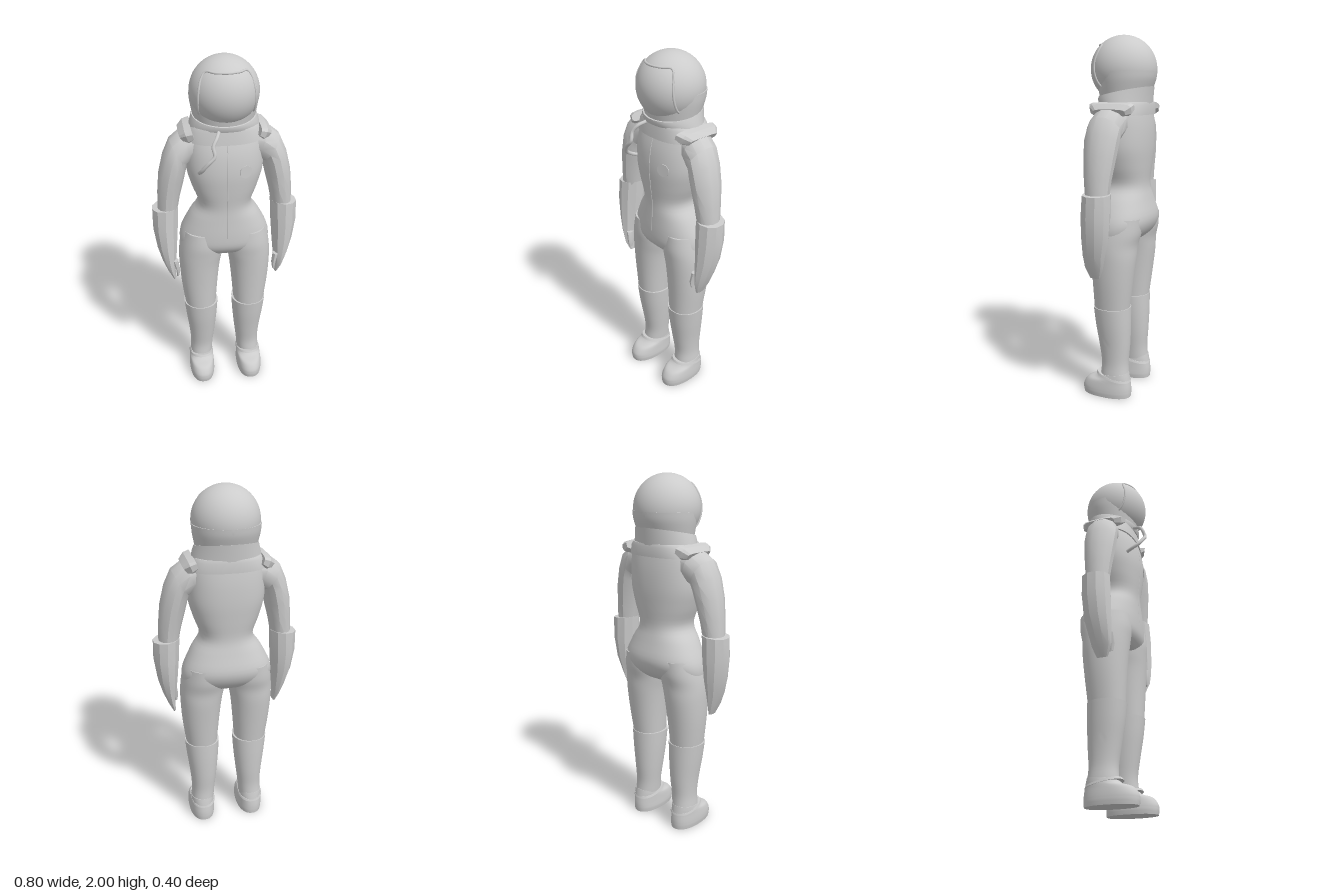
import * as THREE from 'three';
import { toCreasedNormals } from 'three/addons/utils/BufferGeometryUtils.js';

const material = new THREE.MeshStandardMaterial({ color: 0xcccccc });

// Cross-section: outer end (xa, ya), inner end (xb, yb), front z, back z, front lift
const sec = (xa, ya, xb, yb, zf, zb, lift = 0) => [xa, ya, xb, yb, zf, zb, lift];
const flat = (y, x0, x1, zf, zb, lift = 0) => sec(x1, y, x0, y, zf, zb, lift);
const wide = (y, w, zf, zb, lift = 0) => flat(y, -w, w, zf, zb, lift);
const mirror = ([xa, ya, xb, yb, ...rest]) => [-xb, yb, -xa, ya, ...rest];

// Smoothly subdivide a list of sections
function refine(sections, steps) {
  const out = [];
  const last = sections.length - 1;
  const spline = (a, b, c, d, t) => {
    const m0 = (c - a) / 2, m1 = (d - b) / 2;
    return (2 * b - 2 * c + m0 + m1) * t ** 3 + (3 * c - 3 * b - 2 * m0 - m1) * t * t + m0 * t + b;
  };
  for (let i = 0; i < last; i++) {
    const [a, b, c, d] = [i - 1, i, i + 1, i + 2].map(k => sections[Math.min(last, Math.max(0, k))]);
    for (let s = 0; s < steps; s++) out.push(b.map((v, k) => spline(a[k], v, c[k], d[k], s / steps)));
  }
  out.push(sections[last]);
  return out;
}

// Skin sections, listed from top to bottom, with superellipse rings and closed ends
function loft(name, sections, { sides = 32, steps = 4, power = 2, crease = 0.7 } = {}) {
  const rings = refine(sections, steps);
  const pos = [], idx = [];
  const round = v => Math.sign(v) * Math.abs(v) ** (2 / power);
  for (const [xa, ya, xb, yb, zf, zb, lift] of rings) {
    for (let j = 0; j < sides; j++) {
      const a = ((j + 0.5) / sides) * Math.PI * 2;
      const c = round(Math.cos(a)), s = round(Math.sin(a));
      pos.push((xa + xb + (xa - xb) * c) / 2, (ya + yb + (ya - yb) * c) / 2 + lift * s, (zf + zb + (zf - zb) * s) / 2);
    }
  }
  for (let i = 0; i < rings.length - 1; i++) {
    for (let j = 0; j < sides; j++) {
      const a = i * sides + j, b = i * sides + (j + 1) % sides;
      idx.push(a, b, a + sides, b, b + sides, a + sides);
    }
  }
  const addCap = (ring, base, top) => {
    const [xa, ya, xb, yb, zf, zb] = ring;
    const center = pos.length / 3;
    pos.push((xa + xb) / 2, (ya + yb) / 2, (zf + zb) / 2);
    for (let j = 0; j < sides; j++) {
      const a = base + j, b = base + (j + 1) % sides;
      idx.push(center, top ? b : a, top ? a : b);
    }
  };
  addCap(rings[0], 0, true);
  addCap(rings[rings.length - 1], (rings.length - 1) * sides, false);
  const geo = new THREE.BufferGeometry();
  geo.setAttribute('position', new THREE.Float32BufferAttribute(pos, 3));
  geo.setIndex(idx);
  return part(name, toCreasedNormals(geo, crease));
}

function part(name, geometry) {
  const mesh = new THREE.Mesh(geometry, material);
  mesh.name = name;
  return mesh;
}

function tube(name, points, radius, segments = 40) {
  const curve = new THREE.CatmullRomCurve3(points.map(p => new THREE.Vector3(...p)));
  return part(name, new THREE.TubeGeometry(curve, segments, radius, 8));
}

function makeHelmet() {
  const group = new THREE.Group();
  group.name = 'helmet';
  const center = new THREE.Vector3(0, 1.82, -0.014);
  const globe = part('helmetGlobe', new THREE.SphereGeometry(0.18, 48, 32));
  globe.position.copy(center);
  group.add(globe);
  // lower shell closing towards the neck
  group.add(loft('helmetSkirt', [
    wide(1.81, 0.181, 0.13, -0.194), wide(1.76, 0.177, 0.125, -0.188, -0.01), wide(1.69, 0.163, 0.11, -0.17, -0.03),
  ]));
  // visor frame laid over the globe
  const half = [[0, 1.945], [0.06, 1.945], [0.102, 1.943], [0.124, 1.915], [0.139, 1.86], [0.144, 1.8], [0.14, 1.74], [0.128, 1.695]];
  const outline = [...half.slice(1).reverse().map(([x, y]) => [-x, y]), ...half];
  group.add(tube('visorFrame', outline.map(([x, y]) => {
    const dy = y - center.y;
    return [x, y, center.z + Math.sqrt(0.18 ** 2 - x * x - dy * dy)];
  }), 0.006, 90));
  return group;
}

export function createModel() {
  const model = new THREE.Group();
  model.name = 'spacesuitFigure';
  model.add(makeHelmet());

  // Neck ring and yoke
  model.add(loft('neckRing', [
    wide(1.7, 0.17, 0.12, -0.178, -0.03), wide(1.67, 0.179, 0.12, -0.172, -0.012), wide(1.64, 0.186, 0.112, -0.168),
  ], { steps: 1 }));
  model.add(loft('yoke', [
    wide(1.648, 0.176, 0.105, -0.166), wide(1.632, 0.19, 0.108, -0.17), wide(1.575, 0.205, 0.115, -0.168, -0.005),
  ], { steps: 1, power: 2.5 }));

  // Torso, from shoulders to crotch
  const torso = [
    wide(1.63, 0.18, 0.085, -0.155), wide(1.58, 0.2, 0.106, -0.163), wide(1.5, 0.208, 0.127, -0.17),
    wide(1.4, 0.205, 0.136, -0.17), wide(1.3, 0.178, 0.13, -0.162), wide(1.2, 0.147, 0.12, -0.154),
    wide(1.12, 0.195, 0.122, -0.17), wide(1.02, 0.244, 0.126, -0.192), wide(0.95, 0.253, 0.12, -0.17),
    wide(0.9, 0.235, 0.085, -0.12), wide(0.885, 0.19, 0.05, -0.08),
  ];
  model.add(loft('torso', torso, { sides: 40, power: 2.3, crease: 1 }));
  model.add(tube('zipper', torso.slice(1, 8).map(s => [0, s[1], s[4] - 0.001]), 0.003));

  // Chest patch
  const patch = part('chestPatch', new THREE.CylinderGeometry(0.036, 0.036, 0.012, 10));
  patch.position.set(0.095, 1.42, 0.119);
  patch.rotation.set(Math.PI / 2, 0, -0.32);
  model.add(patch);

  // Breathing hose
  model.add(tube('hose', [
    [-0.045, 1.645, 0.115], [-0.06, 1.63, 0.155], [-0.08, 1.595, 0.178], [-0.075, 1.55, 0.193], [-0.11, 1.51, 0.195],
    [-0.14, 1.465, 0.175], [-0.148, 1.44, 0.14], [-0.143, 1.425, 0.105],
  ], 0.01));

  for (const side of [1, -1]) {
    const limb = new THREE.Group();
    limb.name = side > 0 ? 'leftLimbs' : 'rightLimbs';
    const add = (name, sections, options) => limb.add(loft(name, side > 0 ? sections : sections.map(mirror), options));

    add('sleeve', [
      sec(0.17, 1.635, 0.13, 1.47, 0.06, -0.11), sec(0.225, 1.627, 0.165, 1.45, 0.075, -0.115),
      sec(0.292, 1.575, 0.2, 1.43, 0.085, -0.105), sec(0.33, 1.49, 0.208, 1.4, 0.09, -0.1),
      sec(0.357, 1.38, 0.222, 1.34, 0.085, -0.09), sec(0.368, 1.27, 0.245, 1.25, 0.075, -0.075),
      sec(0.372, 1.16, 0.262, 1.16, 0.065, -0.065),
    ], { sides: 12, steps: 1, crease: 0.6 });

    add('glove', [
      sec(0.403, 1.175, 0.255, 1.188, 0.075, -0.08), sec(0.404, 1.06, 0.262, 1.06, 0.083, -0.08),
      sec(0.386, 0.94, 0.272, 0.94, 0.085, -0.068), sec(0.36, 0.85, 0.28, 0.85, 0.085, -0.045),
      sec(0.33, 0.775, 0.288, 0.785, 0.078, -0.028), sec(0.303, 0.72, 0.287, 0.728, 0.055, -0.005),
    ], { sides: 10, steps: 1, crease: 0.3 });
    add('thumb', [
      sec(0.305, 0.86, 0.272, 0.86, 0.082, 0.035), sec(0.288, 0.8, 0.264, 0.8, 0.085, 0.045),
      sec(0.284, 0.757, 0.27, 0.762, 0.076, 0.054),
    ], { sides: 8, steps: 1 });

    add('shoulderFlap', [
      sec(0.18, 1.648, 0.165, 1.6, 0.11, -0.15), sec(0.215, 1.64, 0.19, 1.575, 0.095, -0.145),
      sec(0.243, 1.612, 0.215, 1.575, 0.06, -0.12),
    ], { sides: 12, steps: 1, power: 4, crease: 0.3 });

    add('thigh', [
      flat(1.03, 0.02, 0.235, 0.11, -0.17), flat(0.95, 0.006, 0.252, 0.117, -0.165),
      flat(0.88, 0.012, 0.261, 0.112, -0.148), flat(0.8, 0.028, 0.262, 0.106, -0.142),
      flat(0.67, 0.042, 0.254, 0.098, -0.126), flat(0.51, 0.055, 0.234, 0.09, -0.106),
    ], { power: 2.15 });

    add('bootShaft', [
      flat(0.525, 0.043, 0.243, 0.096, -0.112), flat(0.42, 0.05, 0.232, 0.085, -0.112),
      flat(0.3, 0.062, 0.217, 0.066, -0.108), flat(0.2, 0.074, 0.21, 0.052, -0.101),
      flat(0.13, 0.08, 0.214, 0.057, -0.105), flat(0.09, 0.084, 0.214, 0.06, -0.108),
    ], { power: 2.15 });

    add('bootFoot', [
      flat(0.135, 0.082, 0.216, 0.058, -0.105, -0.008), flat(0.112, 0.079, 0.219, 0.085, -0.11, -0.006),
      flat(0.09, 0.076, 0.222, 0.135, -0.115), flat(0.055, 0.074, 0.225, 0.162, -0.12),
      flat(0.025, 0.073, 0.225, 0.166, -0.121), flat(0, 0.077, 0.221, 0.162, -0.119),
    ], { power: 2.3 });

    // seam around the ankle, lower at the heel
    add('ankleSeam', [
      flat(0.12, 0.078, 0.219, 0.075, -0.113, 0.02), flat(0.108, 0.074, 0.222, 0.082, -0.117, 0.02),
    ], { steps: 1, power: 2.3 });
    model.add(limb);
  }
  return model;
}
